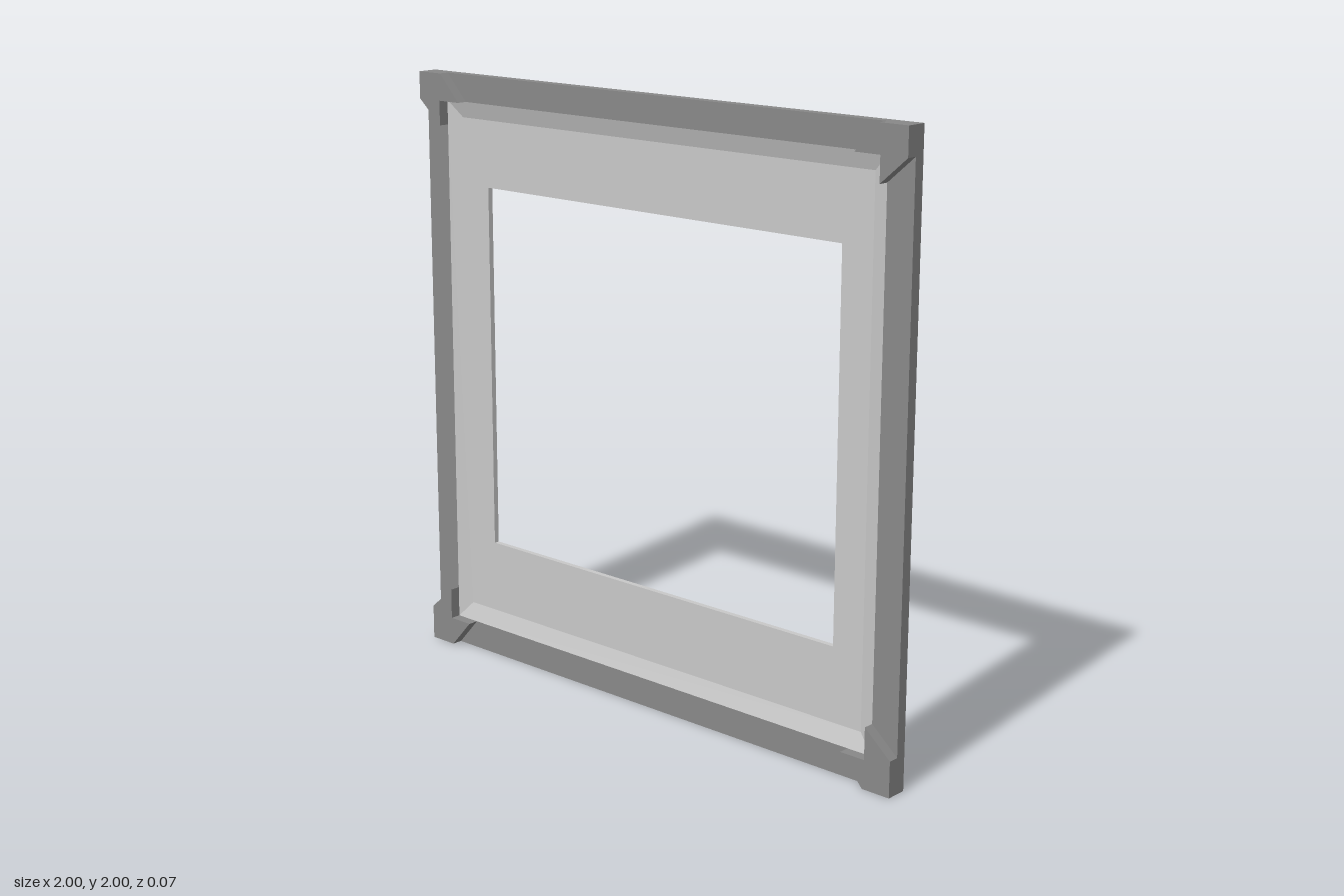
import * as THREE from 'three';

const BACK = -0.036, STEP = -0.018, MID = 0, FRONT = 0.036;

// Rectangle outline with optional rounded corners
function rect(path, x0, y0, x1, y1, r = 0) {
  path.moveTo(x0 + r, y0);
  path.lineTo(x1 - r, y0);
  if (r) path.quadraticCurveTo(x1, y0, x1, y0 + r);
  path.lineTo(x1, y1 - r);
  if (r) path.quadraticCurveTo(x1, y1, x1 - r, y1);
  path.lineTo(x0 + r, y1);
  if (r) path.quadraticCurveTo(x0, y1, x0, y1 - r);
  path.lineTo(x0, y0 + r);
  if (r) path.quadraticCurveTo(x0, y0, x0 + r, y0);
  path.closePath();
  return path;
}

// Flat plate between two depths
function plate(name, shape, z0, z1, material) {
  const geometry = new THREE.ExtrudeGeometry(shape, { depth: z1 - z0, bevelEnabled: false, curveSegments: 5 });
  geometry.translate(0, 0, z0);
  const mesh = new THREE.Mesh(geometry, material);
  mesh.name = name;
  return mesh;
}

export function createModel() {
  const group = new THREE.Group();
  group.name = 'windowFrame';
  const darkGrey = new THREE.MeshStandardMaterial({ color: 0x888888 });
  darkGrey.name = 'darkGrey';
  const lightGrey = new THREE.MeshStandardMaterial({ color: 0xc8c8c8 });
  lightGrey.name = 'lightGrey';

  // Outer frame: square opening in front, softly rounded one behind
  const inner = [-0.905, 0.095, 0.905, 1.91];
  const frontRing = rect(new THREE.Shape(), -1, 0, 1, 2);
  frontRing.holes.push(rect(new THREE.Path(), ...inner));
  group.add(plate('frameFront', frontRing, STEP, MID, darkGrey));
  const backRing = rect(new THREE.Shape(), -1, 0, 1, 2);
  backRing.holes.push(rect(new THREE.Path(), ...inner, 0.03));
  group.add(plate('frameBack', backRing, BACK, STEP, darkGrey));

  // Recessed panel with the window opening
  const panel = rect(new THREE.Shape(), ...inner, 0.03);
  panel.holes.push(rect(new THREE.Path(), -0.735, 0.398, 0.738, 1.632));
  group.add(plate('panel', panel, BACK, STEP, lightGrey));

  // Sloping border from the frame down to the panel
  const corners = (x0, y0, x1, y1, z) => [[x0, y0, z], [x1, y0, z], [x1, y1, z], [x0, y1, z]];
  const outerLoop = corners(...inner, MID);
  const innerLoop = corners(-0.85, 0.153, 0.85, 1.855, STEP);
  const points = [];
  for (let i = 0; i < 4; i++) {
    const j = (i + 1) % 4;
    const [a, b, c, d] = [outerLoop[i], outerLoop[j], innerLoop[j], innerLoop[i]];
    points.push(...a, ...b, ...c, ...a, ...c, ...d);
  }
  const slope = new THREE.BufferGeometry();
  slope.setAttribute('position', new THREE.Float32BufferAttribute(points, 3));
  slope.computeVertexNormals();
  const border = new THREE.Mesh(slope, lightGrey);
  border.name = 'slopingBorder';
  group.add(border);

  // Corner brackets with diagonally cut arms
  for (const sx of [-1, 1]) {
    for (const top of [false, true]) {
      const y = (d) => (top ? 2 - d : d);
      const cut = top ? 0.09 : 0.118, tip = top ? 0.172 : 0.2, side = top ? 0.09 : 0.095;
      const outline = [[1, 0], [0.9, 0], [0.815, side], [0.905, side], [0.905, tip], [1, cut]];
      const shape = new THREE.Shape(outline.map(([x, d]) => new THREE.Vector2(sx * x, y(d))));
      const name = (top ? 'top' : 'bottom') + (sx > 0 ? 'Left' : 'Right') + 'Bracket';
      group.add(plate(name, shape, MID, FRONT, darkGrey));
    }
  }
  return group;
}
